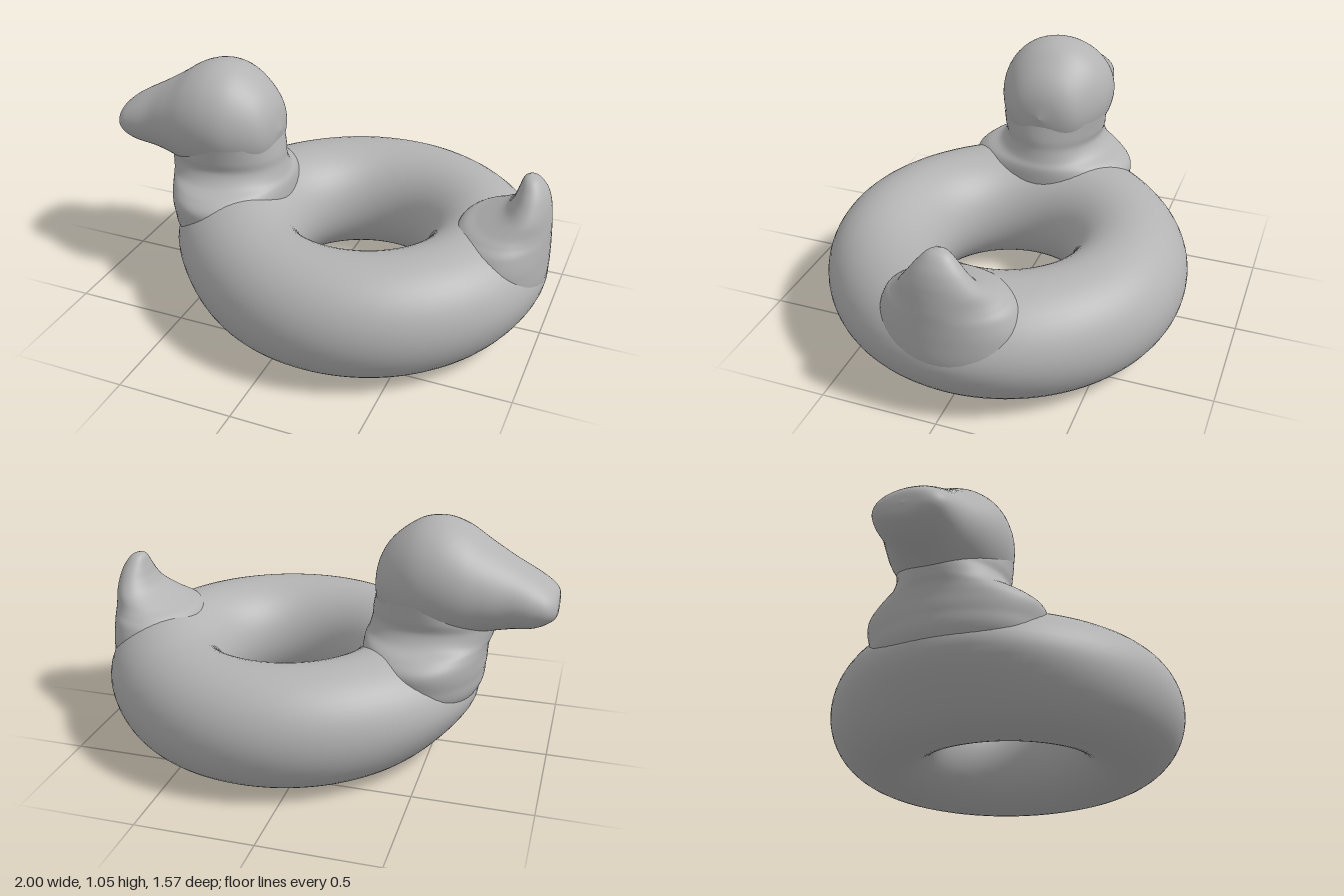
import * as THREE from 'three';

const vinyl = new THREE.MeshStandardMaterial({ color: 0xb3b3b3 });
vinyl.name = 'grey vinyl';

// Smooth skin through oval sections [position, low edge, high edge, half width in z].
// axis 'y': edges are in x; axis 'x': edges are in y.
function loft(name, axis, sections) {
  const rows = sections.length * 6, cols = 56;
  const edges = new THREE.CatmullRomCurve3(sections.map(s => new THREE.Vector3(s[0], s[1], s[2])), false, 'catmullrom');
  const widths = new THREE.CatmullRomCurve3(sections.map(s => new THREE.Vector3(s[3], 0, 0)), false, 'catmullrom');
  const positions = [], index = [];
  for (let i = 0; i <= rows; i++) {
    const e = edges.getPoint(i / rows);
    const w = Math.max(0, widths.getPoint(i / rows).x);
    const mid = (e.y + e.z) / 2, half = Math.max(0, (e.z - e.y) / 2);
    for (let j = 0; j < cols; j++) {
      const t = (j / cols) * Math.PI * 2;
      const across = mid + half * Math.cos(t), side = w * Math.sin(t);
      if (axis === 'y') positions.push(across, e.x, side);
      else positions.push(e.x, across, -side);
      if (i < rows) {
        const k = (j + 1) % cols, a = i * cols, b = a + cols;
        index.push(a + j, b + j, a + k, b + j, b + k, a + k);
      }
    }
  }
  const geometry = new THREE.BufferGeometry();
  geometry.setAttribute('position', new THREE.Float32BufferAttribute(positions, 3));
  geometry.setIndex(index);
  geometry.computeVertexNormals();
  const mesh = new THREE.Mesh(geometry, vinyl);
  mesh.name = name;
  return mesh;
}

// Swim ring: a torus whose outer side swells towards the chest and the tail
function makeRing() {
  const R = 0.533, r = 0.253, height = 0.258;
  const geometry = new THREE.TorusGeometry(R, r, 48, 112);
  geometry.rotateX(-Math.PI / 2);
  const p = geometry.attributes.position;
  for (let i = 0; i < p.count; i++) {
    const x = p.getX(i), y = p.getY(i), z = p.getZ(i);
    const radius = Math.hypot(x, z), c = x / radius;
    const outward = Math.max(0, (radius - R) / r);
    const lift = THREE.MathUtils.smoothstep(y, -0.22, 0.06);
    const swell = (c < 0 ? 0.085 : 0.035) * c ** 6 * outward * lift;
    const k = (radius + swell) / radius;
    p.setXYZ(i, 0.18 + x * k, height + (y * height) / r, z * k);
  }
  geometry.computeVertexNormals();
  // Share normals across the two seams of the torus
  const n = geometry.attributes.normal, row = 113;
  const join = (a, b) => {
    const v = new THREE.Vector3().fromBufferAttribute(n, a).add(new THREE.Vector3().fromBufferAttribute(n, b)).normalize();
    n.setXYZ(a, v.x, v.y, v.z);
    n.setXYZ(b, v.x, v.y, v.z);
  };
  for (let j = 0; j <= 48; j++) join(j * row, j * row + 112);
  for (let i = 0; i < row; i++) join(i, 48 * row + i);
  const mesh = new THREE.Mesh(geometry, vinyl);
  mesh.name = 'swimRing';
  return mesh;
}

export function createModel() {
  const group = new THREE.Group();
  group.name = 'duckSwimRing';
  group.add(makeRing());

  // Chest and neck, flaring into the ring
  group.add(loft('neck', 'y', [
    [0.15, -0.54, -0.25, 0.2],
    [0.3, -0.685, -0.18, 0.34],
    [0.4, -0.71, -0.18, 0.37],
    [0.47, -0.715, -0.18, 0.375],
    [0.515, -0.722, -0.185, 0.33],
    [0.55, -0.735, -0.2, 0.262],
    [0.6, -0.745, -0.212, 0.228],
    [0.65, -0.735, -0.216, 0.234],
    [0.72, -0.68, -0.23, 0.24],
  ]));

  // Head running forward into the blunt beak
  group.add(loft('headAndBeak', 'x', [
    [-1.0, 0.71, 0.71, 0],
    [-0.993, 0.665, 0.765, 0.095],
    [-0.96, 0.635, 0.8, 0.143],
    [-0.9, 0.607, 0.84, 0.165],
    [-0.8, 0.592, 0.895, 0.182],
    [-0.7, 0.57, 0.955, 0.216],
    [-0.6, 0.54, 1.018, 0.246],
    [-0.5, 0.53, 1.045, 0.254],
    [-0.4, 0.535, 1.025, 0.237],
    [-0.3, 0.575, 0.95, 0.182],
    [-0.245, 0.65, 0.865, 0.115],
    [-0.222, 0.755, 0.755, 0],
  ]));

  // Upturned tail
  group.add(loft('tail', 'y', [
    [0.2, 0.78, 0.975, 0.12],
    [0.3, 0.68, 0.998, 0.26],
    [0.4, 0.63, 1.0, 0.29],
    [0.48, 0.61, 0.998, 0.27],
    [0.52, 0.635, 0.997, 0.232],
    [0.55, 0.7, 0.995, 0.2],
    [0.6, 0.795, 0.99, 0.163],
    [0.65, 0.832, 0.982, 0.126],
    [0.7, 0.85, 0.965, 0.088],
    [0.745, 0.866, 0.932, 0.045],
    [0.763, 0.89, 0.89, 0],
  ]));
  return group;
}
